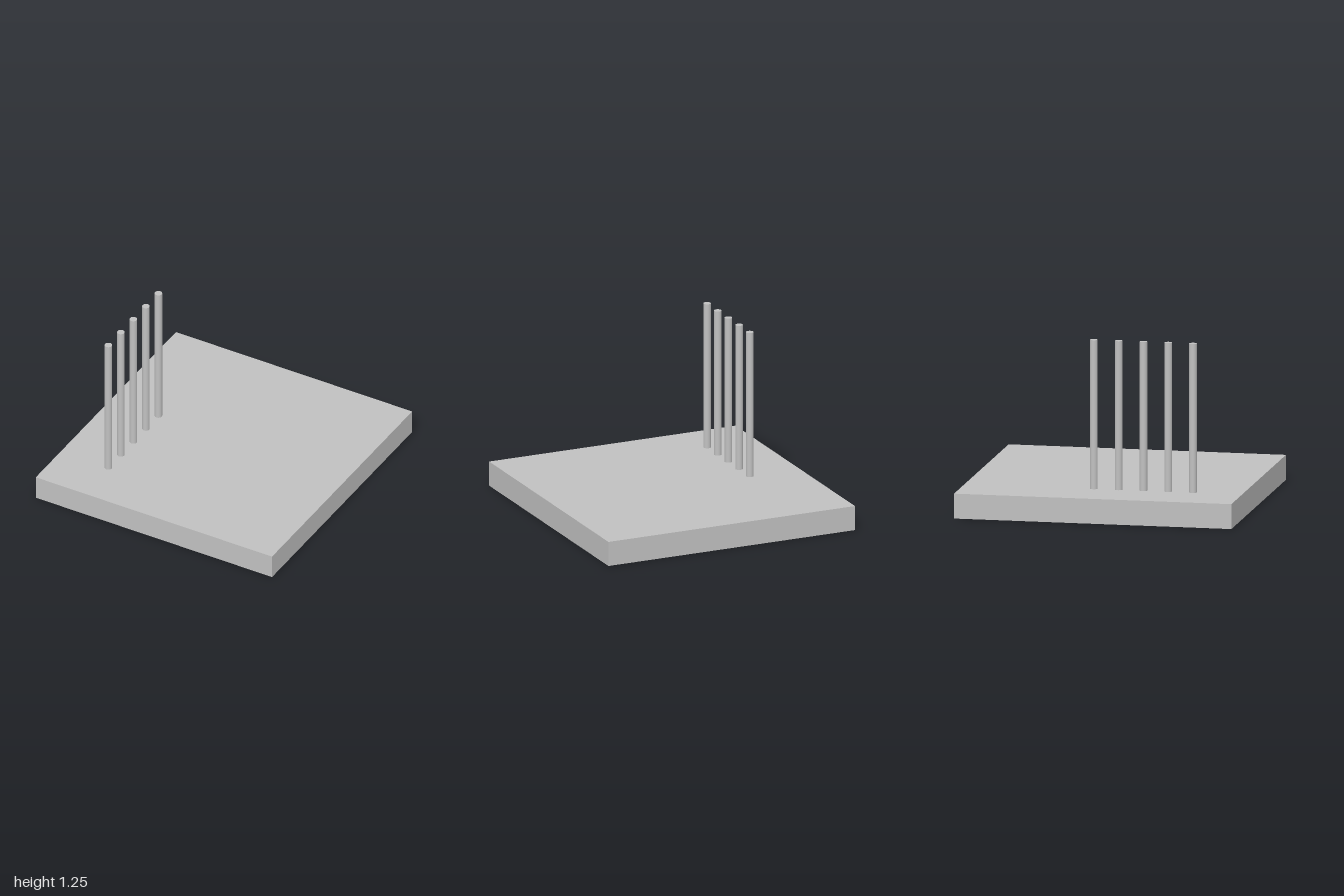
import * as THREE from 'three';

export function createModel() {
  const model = new THREE.Group();
  const gray = new THREE.MeshStandardMaterial({ color: 0xc0c0c0 });
  gray.name = 'lightGray';

  // flat slab
  const baseHeight = 0.179;
  const base = new THREE.Mesh(new THREE.BoxGeometry(1.92, baseHeight, 2), gray);
  base.name = 'base';
  base.position.y = baseHeight / 2;
  model.add(base);

  // row of five upright rods along the right side
  const rodHeight = 1.071;
  const rodGeometry = new THREE.CylinderGeometry(0.027, 0.027, rodHeight, 32);
  const rods = new THREE.Group();
  rods.name = 'rods';
  for (let i = 0; i < 5; i++) {
    const rod = new THREE.Mesh(rodGeometry, gray);
    rod.name = `rod${i + 1}`;
    rod.position.set(-0.573, baseHeight + rodHeight / 2, 0.644 - i * 0.1786);
    rods.add(rod);
  }
  model.add(rods);

  return model;
}
